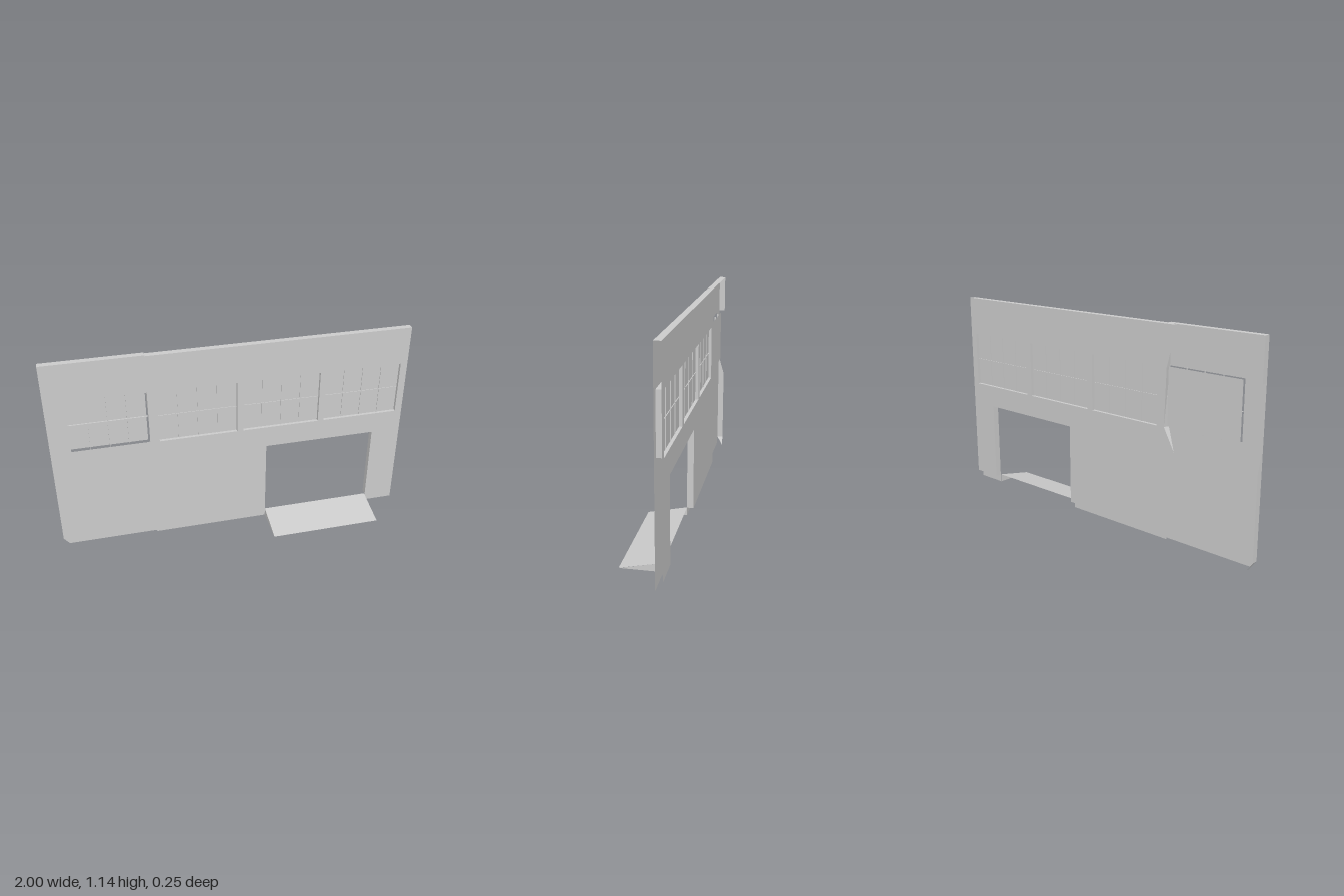
import * as THREE from 'three';

const FRONT = -0.09, BACK = -0.125, MID = -0.108;
const material = new THREE.MeshStandardMaterial({ color: 0xcccccc, side: THREE.DoubleSide });

export function createModel() {
  const model = new THREE.Group();

  const add = (name, geometry) => {
    const mesh = new THREE.Mesh(geometry, material);
    mesh.name = name;
    model.add(mesh);
    return mesh;
  };

  const rect = (x0, x1, y0, y1) => [[x0, y0], [x1, y0], [x1, y1], [x0, y1]];
  const vectors = (points) => points.map(([x, y]) => new THREE.Vector2(x, y));

  // Flat sheet in an xy plane, facing +z or -z
  const sheet = (name, outline, holes, z, backward = false) => {
    const shape = new THREE.Shape(vectors(outline));
    holes.forEach((h) => shape.holes.push(new THREE.Path(vectors(h).reverse())));
    const geometry = new THREE.ShapeGeometry(shape);
    if (backward) {
      const index = geometry.index.array;
      for (let i = 0; i < index.length; i += 3) [index[i], index[i + 1]] = [index[i + 1], index[i]];
      geometry.computeVertexNormals();
    }
    geometry.translate(0, 0, z);
    return add(name, geometry);
  };

  // Strip joining a path on the front plane to a path on the back plane
  const strip = (name, front, back = front, closed = false) => {
    const p = [];
    const n = front.length;
    for (let i = 0; i < (closed ? n : n - 1); i++) {
      const j = (i + 1) % n;
      const a = [...front[i], FRONT], b = [...front[j], FRONT];
      const c = [...back[j], BACK], d = [...back[i], BACK];
      p.push(...a, ...b, ...c, ...a, ...c, ...d);
    }
    const geometry = new THREE.BufferGeometry();
    geometry.setAttribute('position', new THREE.Float32BufferAttribute(p, 3));
    geometry.computeVertexNormals();
    return add(name, geometry);
  };

  // Main wall: hollow, open at its end and along the bottom
  const windows = [[-0.415, 0.02], [0.055, 0.49], [0.525, 0.96]].map(([a, b]) => rect(a, b, 0.62, 0.925));
  const door = [[0.83, 0.045], [0.83, 0.495], [0.19, 0.495], [0.19, 0.045]];
  const seam = -0.465;
  sheet('mainWallFront', [
    [seam, 0], [0.19, 0], [0.19, 0.495], [0.83, 0.495], [0.83, 0], [1, 0], [1, 1.14], [seam, 1.14],
  ], windows, FRONT);
  const backEdge = [[-0.525, 1.14], [-0.47, 0.925], [-0.46, 0.62], [-0.525, 0.5], [-0.525, 0.045]];
  sheet('mainWallBack', [
    ...backEdge, [0.19, 0.045], [0.19, 0.495], [0.83, 0.495], [0.83, 0.045], [1, 0.045], [1, 1.14],
  ], windows, BACK, true);
  strip('mainWallTop', [[1, 1.14], [seam, 1.14]], [[1, 1.14], [-0.525, 1.14]]);
  strip('seamReturn', backEdge.map(([, y]) => [seam, y]), backEdge);
  strip('doorReveal', door);

  // Recessed windows with thin glazing bars
  const glazing = (x0, x1, y0, y1, over = 0) => {
    const w = x1 - x0, h = y1 - y0;
    for (let i = 1; i < 4; i++) {
      const bar = add('glazingBar', new THREE.BoxGeometry(0.002, h + over, 0.008));
      bar.position.set(x0 + (w * i) / 4, y0 + h / 2, MID);
    }
    const rail = add('glazingRail', new THREE.BoxGeometry(w + over, 0.002, 0.008));
    rail.position.set(x0 + w / 2, y0 + h / 2, MID);
  };
  windows.forEach((w) => {
    strip('windowReveal', w, w, true);
    sheet('windowPane', w, [], MID);
    glazing(w[0][0], w[1][0], w[0][1], w[2][1]);
  });

  // End panel: a single front sheet with a loose pane set behind its opening
  sheet('endPanel', [
    [-0.97, 0.01], [seam, 0.01], [seam, 1.145], [-1, 1.145], [-1, 0.05],
  ], [rect(-0.89, -0.467, 0.625, 0.93)], FRONT);
  sheet('endPane', rect(-0.895, -0.475, 0.625, 0.93), [], -0.115);
  glazing(-0.89, -0.475, 0.625, 0.93, 0.015);

  // Flanges folded back from the end panel
  strip('endPanelTop', [[seam, 1.145], [-1, 1.145]]);
  strip('endFlangeUpper', [[-1, 1.145], [-1, 0.925]]);
  strip('endFlangeLower', [[-1, 0.62], [-1, 0.5], [-1, 0.05]], [[-1, 0.62], [-1, 0.5], [-1, 0.05]])
    .geometry.attributes.position.setZ(5, FRONT);
  const lower = model.children[model.children.length - 1].geometry;
  lower.attributes.position.setZ(4, BACK);
  lower.computeVertexNormals();
  strip('endFlangeChamfer', [[-1, 0.05], [-1, 0.05]], [[-1, 0.05], [-0.97, 0.003]]);

  // Door ramp: sloped plate with triangular cheeks, open underneath
  const ramp = new THREE.PlaneGeometry(0.635, 1);
  const rp = ramp.attributes.position;
  for (let i = 0; i < rp.count; i++) {
    const top = rp.getY(i) > 0;
    rp.setXYZ(i, rp.getX(i) + 0.5075, top ? 0.047 : 0.001, top ? FRONT : 0.125);
  }
  ramp.computeVertexNormals();
  add('rampPlate', ramp);
  for (const x of [0.19, 0.825]) {
    const cheek = new THREE.ShapeGeometry(new THREE.Shape(vectors([[FRONT, 0], [0.125, 0], [FRONT, 0.047]])));
    const mesh = add('rampCheek', cheek.rotateY(-Math.PI / 2));
    mesh.position.x = x;
  }
  return model;
}
